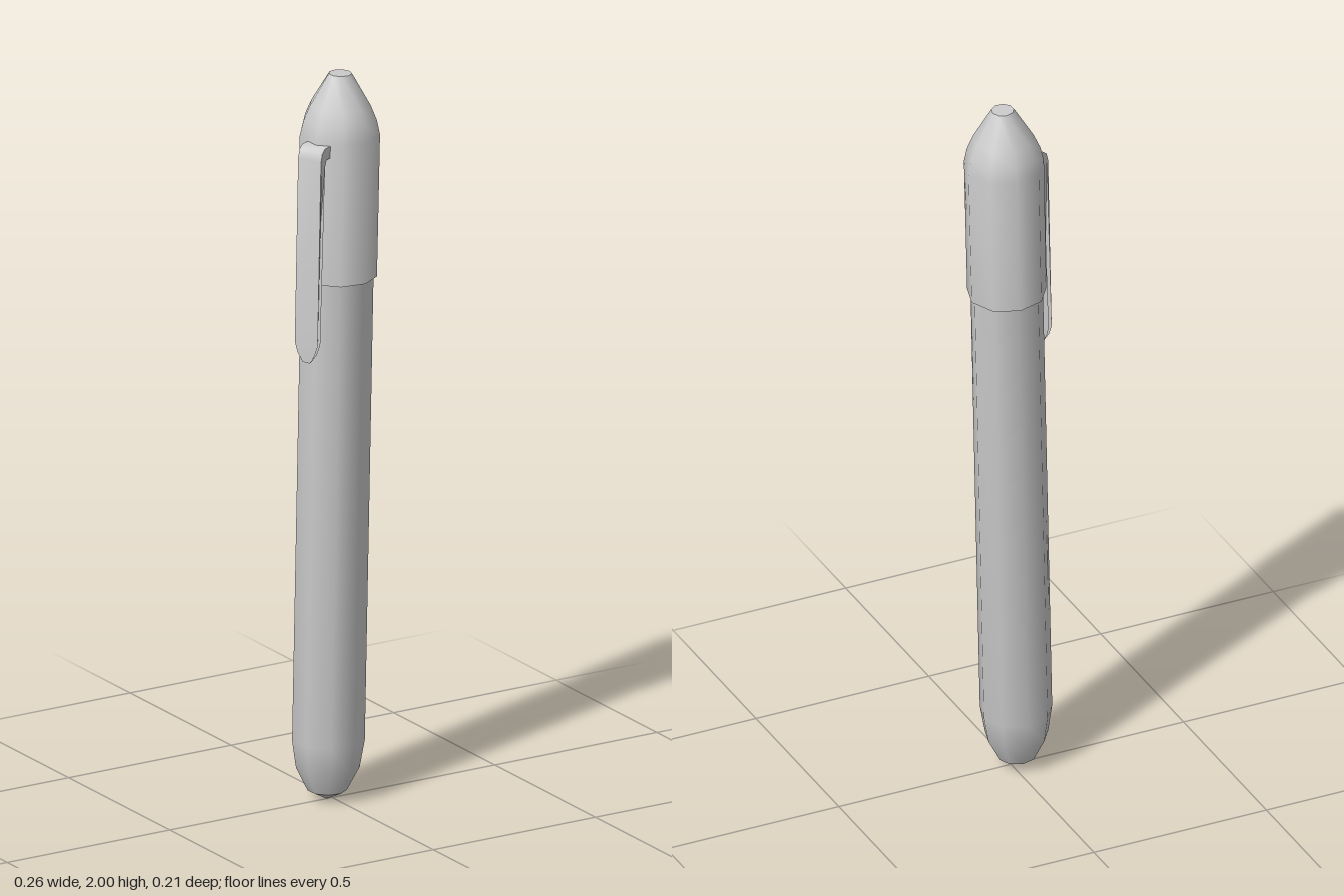
import * as THREE from 'three';
import { toCreasedNormals } from 'three/addons/utils/BufferGeometryUtils.js';

const SIDES = 9;
const FACET = THREE.MathUtils.degToRad(94); // turns a corner of the nine-sided barrel to the clip
const CLIP_ANGLE = THREE.MathUtils.degToRad(156);
const material = new THREE.MeshStandardMaterial({ color: 0xcccccc, side: THREE.DoubleSide });

function addMesh(parent, name, geometry) {
  const mesh = new THREE.Mesh(toCreasedNormals(geometry, 0.8), material);
  mesh.name = name;
  parent.add(mesh);
}

// Nine-sided turned part from [radius, height] points, bottom to top
function turned(points) {
  return new THREE.LatheGeometry(points.map(([r, y]) => new THREE.Vector2(r, y)), SIDES, FACET);
}

// Bent strip: side outline extruded across its width, narrowed to a rounded tip
function clipGeometry() {
  const outline = [
    [0.088, 1.797], [0.11, 1.797], [0.117, 1.78], [0.124, 1.29], [0.126, 1.262], [0.13, 1.238],
    [0.134, 1.238], [0.1355, 1.262], [0.136, 1.29], [0.1365, 1.795], [0.131, 1.818], [0.118, 1.829], [0.088, 1.83],
  ].map(([x, y]) => new THREE.Vector2(x, y));
  const width = 0.072;
  const geometry = new THREE.ExtrudeGeometry(new THREE.Shape(outline), { depth: width, bevelEnabled: false });
  geometry.translate(0, 0, -width / 2);
  const p = geometry.attributes.position;
  for (let i = 0; i < p.count; i++) {
    const y = p.getY(i);
    const scale = y < 1.25 ? 0.3 : y < 1.28 ? 0.75 : 1;
    p.setZ(i, p.getZ(i) * scale);
  }
  geometry.rotateY(-CLIP_ANGLE);
  return geometry;
}

export function createModel() {
  const model = new THREE.Group();
  model.name = 'pen';

  // The whole pen leans slightly to one side
  const pen = new THREE.Group();
  pen.name = 'leaningPen';
  pen.position.x = -0.017;
  pen.rotation.z = -0.021;
  model.add(pen);

  // Blunt end plug
  addMesh(pen, 'endPlug', turned([[0, 0.004], [0.052, 0.03]]));

  // Barrel with rounded lower end
  addMesh(pen, 'barrel', turned([[0.052, 0.03], [0.085, 0.095], [0.097, 0.17], [0.097, 1.5]]));

  // Cap with lip, shoulder and flat top
  addMesh(pen, 'cap', turned([
    [0.09, 1.445], [0.106, 1.445], [0.107, 1.835], [0.098, 1.875], [0.081, 1.915], [0.031, 2], [0, 2],
  ]));

  // Pocket clip
  addMesh(pen, 'clip', clipGeometry());

  return model;
}
